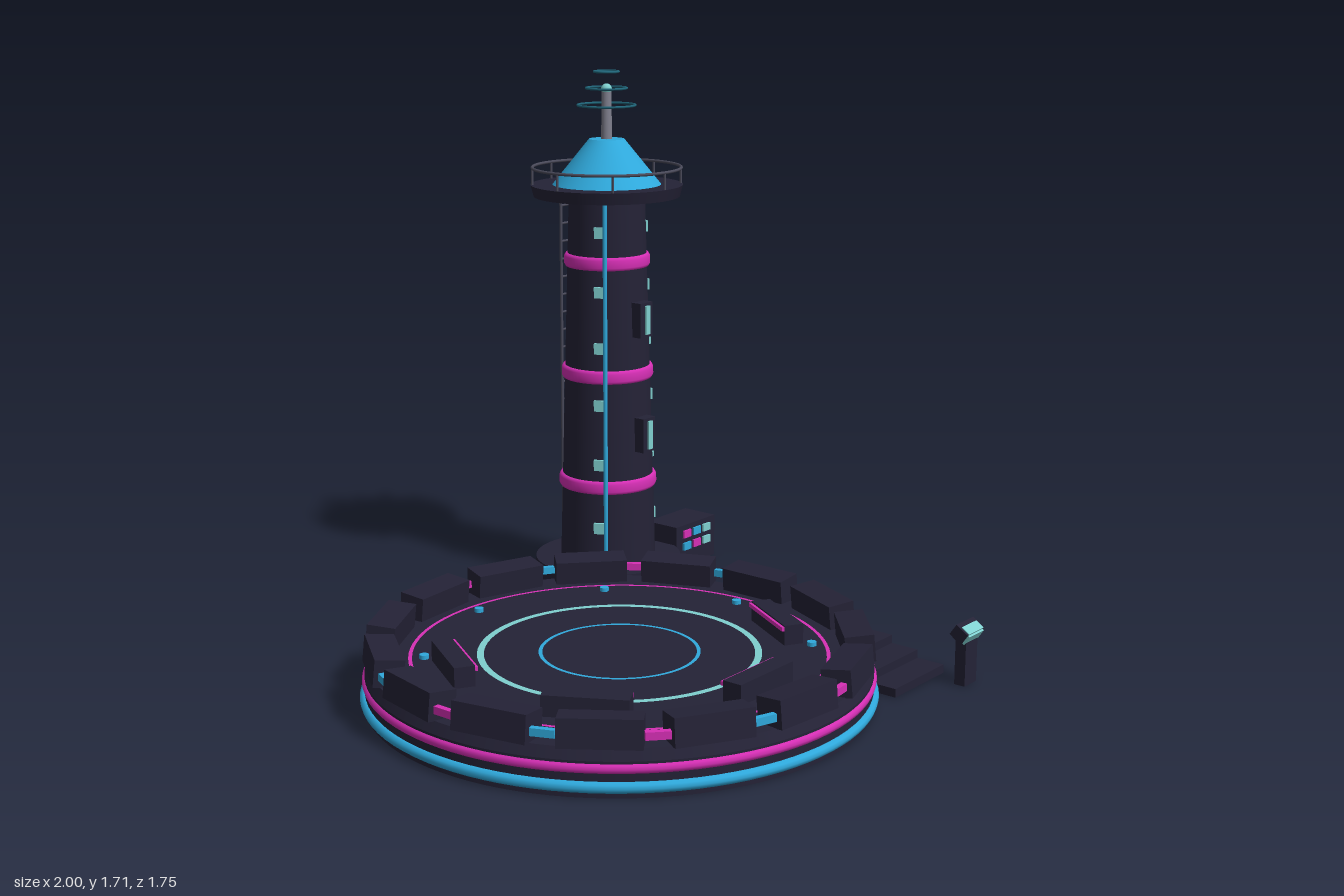
import * as THREE from 'three';

const mat = (name, color) => {
  const m = new THREE.MeshStandardMaterial({ color });
  m.name = name;
  return m;
};

export function createModel() {
  const dark = mat('dark hull', 0x242236);
  const pink = mat('pink glow', 0xd62fb5);
  const blue = mat('blue glow', 0x2fa9dc);
  const teal = mat('pale teal glow', 0x7fd0cf);
  const deepTeal = mat('deep teal', 0x1f6478);
  const steel = mat('steel', 0x80808e);
  const rail = mat('dark steel', 0x4a4a5a);

  const add = (parent, name, geo, material, x = 0, y = 0, z = 0) => {
    const m = new THREE.Mesh(geo, material);
    m.name = name;
    m.position.set(x, y, z);
    parent.add(m);
    return m;
  };
  const group = (parent, name, x, y, z) => {
    const g = new THREE.Group();
    g.name = name;
    g.position.set(x, y, z);
    parent.add(g);
    return g;
  };
  const box = (w, h, d) => new THREE.BoxGeometry(w, h, d);
  const cyl = (rTop, rBottom, h, n = 64) => new THREE.CylinderGeometry(rTop, rBottom, h, n);
  // horizontal ring
  const ring = (r, tube) => new THREE.TorusGeometry(r, tube, 10, 96).rotateX(Math.PI / 2);
  const flatRing = (r, w) => new THREE.RingGeometry(r - w / 2, r + w / 2, 96).rotateX(-Math.PI / 2);
  // puts a mesh on a circle with its local +x pointing outward
  const polar = (m, deg, r, y) => {
    const a = THREE.MathUtils.degToRad(deg);
    m.position.set(r * Math.cos(a), y, r * Math.sin(a));
    m.rotation.y = -a;
    return m;
  };

  const model = new THREE.Group();
  model.name = 'landingPadAndTower';

  // ---------- round platform ----------
  const pad = group(model, 'platform', -0.255, 0, 0.12);
  add(pad, 'platformBody', cyl(0.73, 0.73, 0.1, 96), dark, 0, 0.05, 0);
  add(pad, 'platformTop', cyl(0.715, 0.73, 0.03, 96), dark, 0, 0.115, 0);
  add(pad, 'blueEdgeRing', ring(0.729, 0.016), blue, 0, 0.03, 0);
  add(pad, 'pinkEdgeRing', ring(0.722, 0.016), pink, 0, 0.08, 0);
  add(pad, 'pinkFloorRing', flatRing(0.6, 0.011), pink, 0, 0.134, 0);
  add(pad, 'tealFloorRing', flatRing(0.4, 0.02), teal, 0, 0.134, 0);
  add(pad, 'blueFloorRing', flatRing(0.228, 0.011), blue, 0, 0.134, 0);

  // barrier blocks with a light in each gap
  for (let i = 0; i < 15; i++) {
    const block = polar(add(pad, 'barrierBlock', box(0.085, 0.08, 0.225), dark), i * 24, 0.68, 0.166);
    block.rotation.z = 0.1;
    polar(add(pad, 'gapLight', box(0.018, 0.022, 0.068), i % 2 ? pink : blue), i * 24 + 12, 0.71, 0.162);
  }
  // floor lamps
  for (let i = 0; i < 8; i++) {
    polar(add(pad, 'floorLamp', cyl(0.014, 0.014, 0.012, 16), blue), i * 45, 0.56, 0.136);
  }
  // benches with a light strip on the inner edge
  for (const deg of [30, 90, 150, 210]) {
    polar(add(pad, 'bench', box(0.06, 0.06, 0.24), dark), deg, 0.495, 0.16);
    polar(add(pad, 'benchLight', box(0.009, 0.012, 0.24), pink), deg, 0.461, 0.18);
  }

  // ---------- stairs ----------
  const stairs = group(model, 'stairs', 0.36, 0, 0);
  for (let i = 0; i < 5; i++) {
    const h = 0.026 * (i + 1);
    add(stairs, 'step', box(0.263, h, 0.091), dark, 0, h / 2, 0.705 - i * 0.091);
  }

  // ---------- control post ----------
  const post = group(model, 'controlPost', 0.463, 0, 0.842);
  add(post, 'postColumn', box(0.065, 0.15, 0.035), dark, 0, 0.075, 0);
  const head = group(post, 'postHead', 0, 0.16, 0);
  head.rotation.x = 0.6;
  add(head, 'headCase', box(0.095, 0.04, 0.045), dark);
  add(head, 'screen', box(0.08, 0.034, 0.008), teal, 0, 0, 0.025);
  add(head, 'screenTop', box(0.08, 0.006, 0.03), teal, 0, 0.02, 0.008);

  // ---------- tower ----------
  const tower = group(model, 'tower', 0.57, 0, -0.625);
  const shaftR = y => 0.16 - 0.035 * (y - 0.08) / 1.22;
  add(tower, 'towerBase', cyl(0.245, 0.248, 0.08), dark, 0, 0.04, 0);
  add(tower, 'shaft', cyl(0.125, 0.16, 1.24), dark, 0, 0.69, 0);
  for (const y of [0.352, 0.723, 1.097]) {
    const pts = [[-0.022, -0.003], [-0.021, 0.006], [-0.012, 0.011], [0.012, 0.011], [0.021, 0.006], [0.022, -0.003]]
      .map(([dy, dr]) => new THREE.Vector2(shaftR(y + dy) + dr, dy));
    add(tower, 'glowBand', new THREE.LatheGeometry(pts, 64), pink, 0, y, 0);
  }

  // three columns of small windows
  for (const deg of [30, 150, 270]) {
    for (const y of [0.215, 0.43, 0.63, 0.82, 1.005, 1.2]) {
      polar(add(tower, 'window', box(0.024, 0.036, 0.036), teal), deg, shaftR(y) - 0.002, y);
    }
  }
  // lit housings on the front
  for (const y of [0.525, 0.91]) {
    add(tower, 'lampHousing', box(0.062, 0.115, 0.05), dark, 0, y, shaftR(y) + 0.008);
    add(tower, 'lampStrip', box(0.02, 0.095, 0.008), teal, 0, y, shaftR(y) + 0.036);
  }
  // pipe up the side
  polar(add(tower, 'pipe', cyl(0.007, 0.007, 1.22, 12), blue), 142, 0.17, 0.69);

  // ladder up the back
  const ladder = group(tower, 'ladder', 0, 0, -0.176);
  for (const s of [-1, 1]) add(ladder, 'ladderRail', cyl(0.005, 0.005, 1.21, 8), rail, s * 0.03, 0.685, 0);
  for (let i = 0; i < 20; i++) {
    add(ladder, 'rung', cyl(0.004, 0.004, 0.06, 8).rotateZ(Math.PI / 2), rail, 0, 0.12 + i * 0.06, 0);
  }

  // balcony and railing
  add(tower, 'balcony', cyl(0.25, 0.24, 0.038), dark, 0, 1.324, 0);
  add(tower, 'handrail', ring(0.244, 0.005), rail, 0, 1.398, 0);
  for (let i = 0; i < 8; i++) {
    polar(add(tower, 'railPost', cyl(0.004, 0.004, 0.06, 8), rail), i * 45, 0.244, 1.37);
  }

  // roof, mast and antenna rings
  add(tower, 'roof', cyl(0.058, 0.178, 0.148), blue, 0, 1.417, 0);
  add(tower, 'mast', cyl(0.016, 0.018, 0.16, 20), steel, 0, 1.565, 0);
  add(tower, 'mastTip', new THREE.SphereGeometry(0.018, 20, 14), teal, 0, 1.652, 0);
  for (const [r, y] of [[0.094, 1.6], [0.066, 1.655], [0.04, 1.708]]) {
    add(tower, 'antennaRing', ring(r, 0.004), deepTeal, 0, y, 0);
  }

  // ---------- control box beside the tower ----------
  const cabinet = group(model, 'controlBox', 0.893, 0.072, -0.565);
  add(cabinet, 'boxCase', box(0.214, 0.144, 0.13), dark);
  add(cabinet, 'boxLink', box(0.12, 0.06, 0.13), dark, -0.14, -0.042, 0);
  [[pink, blue, teal], [blue, pink, teal]].forEach((row, j) => row.forEach((m, i) => {
    add(cabinet, 'indicator', box(0.04, 0.026, 0.009), m, -0.052 + i * 0.054, 0.04 - j * 0.044, 0.068);
  }));

  return model;
}
